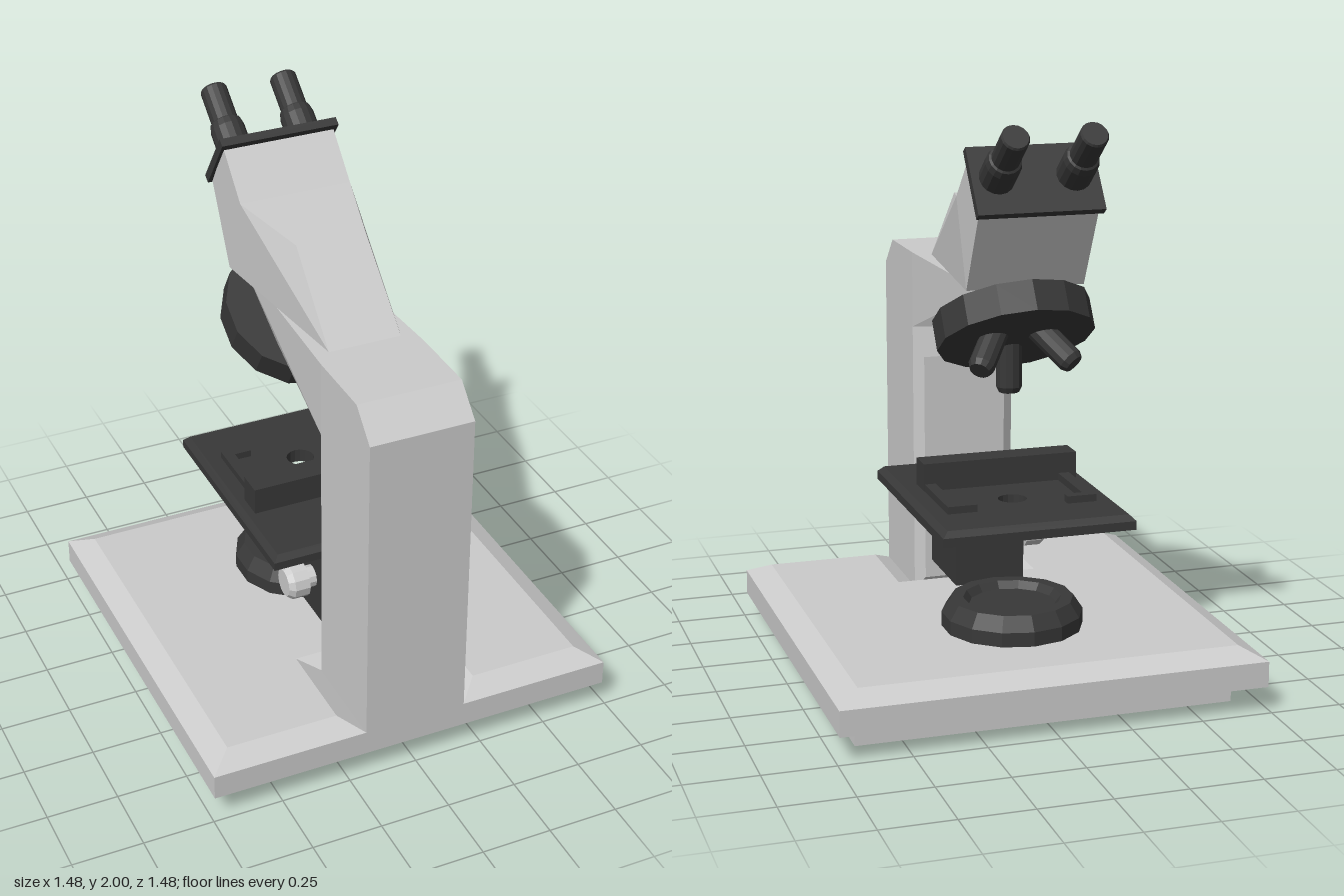
import * as THREE from 'three';
import { ConvexGeometry } from 'three/addons/geometries/ConvexGeometry.js';

const grey = new THREE.MeshStandardMaterial({ color: 0xcccccc, flatShading: true });
const greySheet = new THREE.MeshStandardMaterial({ color: 0xcccccc, flatShading: true, side: THREE.DoubleSide });
const dark = new THREE.MeshStandardMaterial({ color: 0x383838, flatShading: true });

const V = (x, y, z) => new THREE.Vector3(x, y, z);

export function createModel() {
  const model = new THREE.Group();

  function add(name, geometry, material, position) {
    const mesh = new THREE.Mesh(geometry, material);
    mesh.name = name;
    if (position) mesh.position.copy(position);
    model.add(mesh);
    return mesh;
  }

  const box = (name, w, h, d, x, y, z) => add(name, new THREE.BoxGeometry(w, h, d), dark, V(x, y, z));

  // Convex block from [halfWidth, y, z] points mirrored across x
  const hull = (name, points) =>
    add(name, new ConvexGeometry(points.flatMap(([x, y, z]) => [V(x, y, z), V(-x, y, z)])), grey);

  // Turned part: profile of [radius, height] standing along a direction
  function turned(name, profile, sides, material, origin, direction) {
    const points = profile.map(([r, h]) => new THREE.Vector2(r, h));
    const mesh = add(name, new THREE.LatheGeometry(points, sides), material, origin);
    mesh.quaternion.setFromUnitVectors(V(0, 1, 0), direction.clone().normalize());
    return mesh;
  }

  // Base: foot and flared skirt
  const level = (x, y, z) => [[x, y, z], [x, y, -z]];
  hull('baseFoot', [...level(0.66, 0, 0.61), ...level(0.66, 0.04, 0.61)]);
  hull('baseSkirt', [...level(0.66, 0.04, 0.61), ...level(0.74, 0.09, 0.74), ...level(0.74, 0.18, 0.74)]);

  // Base top: bevelled rim and a shallow groove around the column, half mirrored across x
  const halfTop = [
    [[0, 0.22, 0.32], [0.66, 0.22, 0.32], [0.66, 0.22, -0.66], [0, 0.22, -0.66]],
    [[0.26, 0.22, 0.66], [0.66, 0.22, 0.66], [0.66, 0.22, 0.32], [0.26, 0.22, 0.32]],
    [[0.66, 0.22, 0.66], [0.74, 0.18, 0.74], [0.74, 0.18, -0.74], [0.66, 0.22, -0.66]],
    [[0, 0.22, -0.66], [0.66, 0.22, -0.66], [0.74, 0.18, -0.74], [0, 0.18, -0.74]],
    [[0.185, 0.18, 0.74], [0.74, 0.18, 0.74], [0.66, 0.22, 0.66], [0.26, 0.22, 0.66]],
    [[0.185, 0.18, 0.74], [0.26, 0.22, 0.66], [0.26, 0.22, 0.32], [0.185, 0.18, 0.37]],
    [[0, 0.18, 0.37], [0.185, 0.18, 0.37], [0.26, 0.22, 0.32], [0, 0.22, 0.32]],
  ];
  const corners = [];
  for (const quad of halfTop) {
    const mirrored = quad.map(([x, y, z]) => [-x, y, z]).reverse();
    for (const q of [quad, mirrored]) corners.push(q[0], q[1], q[2], q[0], q[2], q[3]);
  }
  const top = new THREE.BufferGeometry();
  top.setAttribute('position', new THREE.Float32BufferAttribute(corners.flat(), 3));
  top.computeVertexNormals();
  add('baseTop', top, greySheet);

  // Column with chamfered back corner and raised inner panel
  const w = 0.185;
  hull('column', [[w, 0.18, 0.74], [w, 1.33, 0.74], [w, 1.43, 0.64], [w, 1.43, 0.37], [w, 0.18, 0.37]]);
  hull('columnPanel', [[w, 0.18, 0.37], [w, 1.16, 0.37], [0.15, 0.22, 0.345], [0.15, 1.05, 0.345]]);

  // Overhanging arm, narrowing toward the nosepiece
  hull('arm', [[w, 1.43, 0.37], [w, 1.16, 0.37], [0.14, 1.255, -0.1], [0.15, 1.425, -0.36]]);

  // Head: sloping rear part and the raised block carrying the eyepieces
  hull('headSlope', [[0.13, 1.43, 0.31], [0.125, 1.69, 0.04], [0.203, 1.725, -0.25], [0.203, 1.43, -0.36]]);
  hull('headBlock', [[0.203, 1.725, -0.25], [0.203, 1.87, -0.39], [0.203, 1.7, -0.5], [0.203, 1.43, -0.36]]);

  // Eyepiece plate and two eyepieces
  const eyeDir = V(0, 0.62, -0.785).normalize();
  const plate = box('eyepiecePlate', 0.43, 0.03, 0.245, 0, 1.797, -0.453);
  plate.quaternion.setFromUnitVectors(V(0, 1, 0), V(0, 0.59, -0.81).normalize());
  const eyeProfile = [[0, 0], [0.06, 0], [0.06, 0.1], [0.054, 0.125], [0.047, 0.13], [0.047, 0.255], [0.042, 0.262], [0, 0.262]];
  for (const side of [-1, 1])
    turned('eyepiece', eyeProfile, 16, dark, V(side * 0.13, 1.805, -0.452), eyeDir);

  // Tilted nosepiece disc
  const axis = V(0, -0.84, -0.545).normalize();
  const across = V(0, -0.545, 0.84).normalize();
  const discTop = V(0, 1.325, -0.205);
  turned('nosepiece', [[0, 0], [0.268, 0], [0.268, 0.108], [0, 0.108]], 14, dark, discTop, axis);

  // Three objectives splayed around the disc axis
  const discFace = discTop.clone().addScaledVector(axis, 0.1);
  const lens = [[0, -0.03], [0.045, -0.03], [0.045, 0.135], [0.035, 0.155], [0, 0.155]];
  for (const degrees of [-110, 0, 110]) {
    const radial = across.clone().applyAxisAngle(axis, THREE.MathUtils.degToRad(degrees));
    const origin = discFace.clone().addScaledVector(radial, 0.09);
    const direction = axis.clone().multiplyScalar(0.84).addScaledVector(radial, 0.545);
    turned('objective', lens, 12, dark, origin, direction);
  }

  // Stage: two slabs with a light hole, the upper one bevelled inward
  function stageSlab(name, y, height, inset) {
    const x = 0.335, z0 = -0.537, z1 = 0.317;
    const shape = new THREE.Shape([[-x, -z1], [x, -z1], [x, -z0], [-x, -z0]].map(p => new THREE.Vector2(...p)));
    shape.holes.push(new THREE.Path().absarc(0, 0.225, 0.05, 0, Math.PI * 2, true));
    const geometry = new THREE.ExtrudeGeometry(shape, { depth: height, bevelEnabled: false, curveSegments: 8 });
    geometry.rotateX(-Math.PI / 2);
    const p = geometry.attributes.position;
    for (let i = 0; i < p.count; i++) {
      if (p.getY(i) < height / 2 || Math.abs(p.getX(i)) < 0.3) continue;
      p.setX(i, p.getX(i) - Math.sign(p.getX(i)) * inset);
      p.setZ(i, p.getZ(i) - Math.sign(p.getZ(i)) * inset);
    }
    geometry.computeVertexNormals();
    add(name, geometry, dark, V(0, y, 0));
  }
  stageSlab('stage', 0.62, 0.03, 0);
  stageSlab('stageTop', 0.65, 0.02, 0.02);

  // Specimen holder: cross bar and two hooked clips
  box('holderBar', 0.555, 0.1, 0.095, -0.012, 0.717, -0.007);
  for (const side of [-1, 1]) {
    box('clipArm', 0.04, 0.03, 0.29, side * 0.243, 0.68, -0.195);
    box('clipHook', 0.08, 0.03, 0.035, side * 0.2, 0.68, -0.322);
  }

  // Stage support and focus knob
  box('stageSupport', 0.25, 0.34, 0.31, 0, 0.455, 0.19);
  const knob = [[0, 0], [0.04, 0], [0.04, 0.04], [0.065, 0.045], [0.065, 0.1], [0.05, 0.12], [0, 0.12]];
  turned('focusKnob', knob, 12, grey, V(-0.115, 0.435, 0.16), V(-1, 0, 0));

  // Round lamp housing with a dished top
  const lamp = [[0, 0], [0.245, 0], [0.245, 0.05], [0.212, 0.1], [0.17, 0.1], [0.15, 0.075], [0, 0.075]];
  turned('lamp', lamp, 14, dark, V(0, 0.22, -0.225), V(0, 1, 0));

  return model;
}
